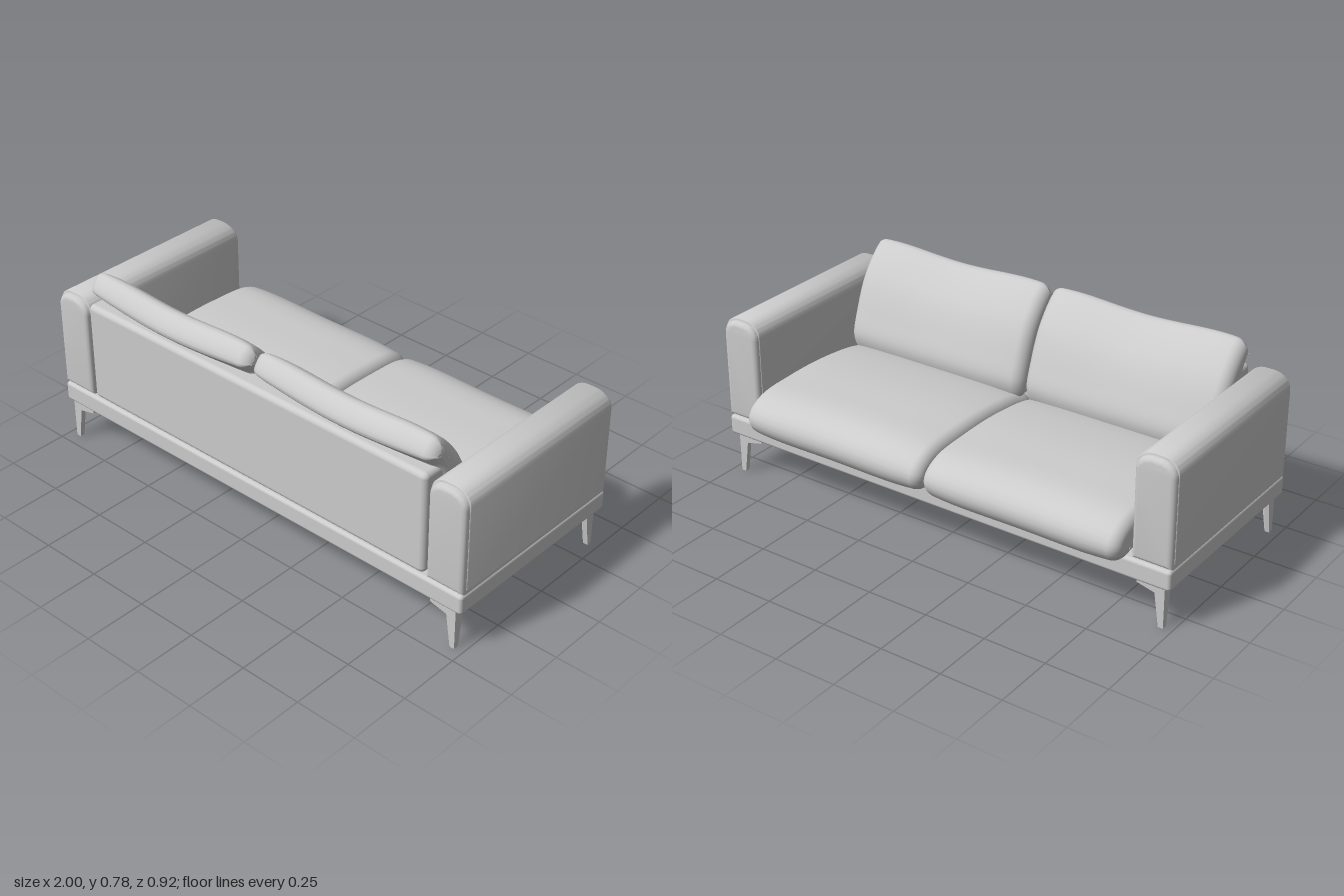
import * as THREE from 'three';
import { RoundedBoxGeometry } from 'three/addons/geometries/RoundedBoxGeometry.js';
import { toCreasedNormals } from 'three/addons/utils/BufferGeometryUtils.js';

const material = new THREE.MeshStandardMaterial({ color: 0xcccccc });

function add(parent, name, geometry, x = 0, y = 0, z = 0) {
  const mesh = new THREE.Mesh(geometry, material);
  mesh.name = name;
  mesh.position.set(x, y, z);
  parent.add(mesh);
  return mesh;
}

// Arm cross-section: flat bottom, rounded shoulders
function armSlab(width, y0, y1, radius, z0, z1, bevel) {
  const w = width / 2;
  const shape = new THREE.Shape();
  shape.moveTo(-w, y0);
  shape.lineTo(w, y0);
  shape.lineTo(w, y1 - radius);
  shape.bezierCurveTo(w, y1 - radius * 0.4, w - radius * 0.5, y1, w - radius * 1.1, y1);
  shape.lineTo(-w + radius * 1.1, y1);
  shape.bezierCurveTo(-w + radius * 0.5, y1, -w, y1 - radius * 0.4, -w, y1 - radius);
  shape.closePath();
  const geometry = new THREE.ExtrudeGeometry(shape, {
    depth: z1 - z0 - 2 * bevel, curveSegments: 12,
    bevelEnabled: true, bevelSize: bevel, bevelThickness: bevel, bevelOffset: -bevel, bevelSegments: 4,
  });
  geometry.translate(0, 0, z0 + bevel);
  return toCreasedNormals(geometry, 0.6);
}

// Soft cushion: a closed (z, y) profile swept along x, inset towards both ends
function cushion(profile, half, radius, wave) {
  const curve = new THREE.CatmullRomCurve3(profile.map(([z, y]) => new THREE.Vector3(z, y, 0)), true, 'centripetal');
  const sides = 72;
  const points = curve.getSpacedPoints(sides).slice(0, sides);
  const centre = points.reduce((sum, p) => sum.add(p), new THREE.Vector3()).divideScalar(sides);

  // Stations along x: rounded end, even middle, rounded end
  const stations = [];
  const endSteps = 8, midSteps = 32, flat = half - radius;
  for (let i = 0; i <= endSteps; i++) {
    const a = (i / endSteps) * Math.PI / 2;
    stations.push([-flat - radius * Math.cos(a), radius * (1 - Math.sin(a))]);
  }
  for (let i = 1; i < midSteps; i++) stations.push([-flat + (2 * flat * i) / midSteps, 0]);
  for (let i = endSteps; i >= 0; i--) stations.push([-stations[i][0], stations[i][1]]);

  const positions = [], index = [];
  stations.forEach(([x, edge], i) => {
    const t = x / half;
    const inset = edge + 0.014 * t ** 4;
    points.forEach((p, j) => {
      const prev = points[(j + sides - 1) % sides], next = points[(j + 1) % sides];
      const dz = next.x - prev.x, dy = next.y - prev.y, len = Math.hypot(dz, dy);
      const [wz, wy] = wave(t, p.x, p.y);
      positions.push(x, p.y - (dz / len) * inset + wy, p.x + (dy / len) * inset + wz);
      if (i < stations.length - 1) {
        const a = i * sides + j, d = i * sides + ((j + 1) % sides);
        index.push(a, d, d + sides, a, d + sides, a + sides);
      }
    });
  });
  // End caps
  const first = positions.length / 3, last = (stations.length - 1) * sides;
  positions.push(-half, centre.y, centre.x, half, centre.y, centre.x);
  for (let j = 0; j < sides; j++) {
    const k = (j + 1) % sides;
    index.push(first, k, j, first + 1, last + j, last + k);
  }
  const geometry = new THREE.BufferGeometry();
  geometry.setAttribute('position', new THREE.Float32BufferAttribute(positions, 3));
  geometry.setIndex(index);
  geometry.computeVertexNormals();
  return geometry;
}

// Corner leg: two tapered bracket plates meeting at a right angle
function cornerLeg() {
  const leg = new THREE.Group();
  const outline = [[0, 0], [0.02, 0], [0.04, 0.133], [0.112, 0.15], [0.112, 0.168], [0, 0.168]];
  const shape = new THREE.Shape(outline.map(([x, y]) => new THREE.Vector2(x, y)));
  const plate = new THREE.ExtrudeGeometry(shape, { depth: 0.02, bevelEnabled: false });
  add(leg, 'legPlateAcross', plate);
  add(leg, 'legPlateAlong', plate, 0.02).rotation.y = -Math.PI / 2;
  return leg;
}

export function createModel() {
  const sofa = new THREE.Group();
  sofa.name = 'sofa';

  // Platform base and rear panel
  add(sofa, 'base', new RoundedBoxGeometry(1.99, 0.081, 0.826, 4, 0.014), 0, 0.2045, 0.047);
  add(sofa, 'backPanel', new RoundedBoxGeometry(1.65, 0.412, 0.11, 5, 0.022), 0, 0.454, 0.403);

  // Arms: padded body with a slightly proud wrap
  const armBody = armSlab(0.16, 0.248, 0.657, 0.06, -0.366, 0.46, 0.02);
  const armWrap = armSlab(0.166, 0.265, 0.667, 0.062, -0.345, 0.438, 0.004);
  for (const [side, s] of [['left', 1], ['right', -1]]) {
    const arm = new THREE.Group();
    arm.name = side + 'Arm';
    arm.position.x = s * 0.916;
    add(arm, 'armBody', armBody);
    add(arm, 'armWrap', armWrap);
    sofa.add(arm);
  }

  // Seat and back cushions
  const hump = (t) => Math.cos(t * Math.PI / 2) ** 2;
  const seat = cushion([
    [-0.466, 0.31], [-0.445, 0.36], [-0.37, 0.404], [-0.2, 0.42], [0, 0.418], [0.2, 0.39], [0.29, 0.35],
    [0.3, 0.29], [0.27, 0.25], [0, 0.246], [-0.3, 0.246], [-0.4, 0.235], [-0.445, 0.258],
  ], 0.416, 0.04, (t, z) => [z < -0.3 ? 0.008 * hump(t) : 0, 0]);
  const back = cushion([
    [0.18, 0.42], [0.208, 0.53], [0.268, 0.665], [0.355, 0.765], [0.395, 0.785], [0.432, 0.757], [0.452, 0.71],
    [0.435, 0.687], [0.408, 0.66], [0.38, 0.58], [0.335, 0.45], [0.28, 0.36], [0.21, 0.35],
  ], 0.418, 0.045, (t, z, y) => [0, -0.022 * hump(t) * THREE.MathUtils.smoothstep(y, 0.42, 0.76)]);
  for (const [side, s] of [['left', 1], ['right', -1]]) {
    add(sofa, side + 'SeatCushion', seat, s * 0.418);
    add(sofa, side + 'BackCushion', back, s * 0.422);
  }

  // Legs, one turned into each corner
  const corners = [
    ['frontRightLeg', -0.966, -0.348, 0], ['rearRightLeg', -0.966, 0.45, 1],
    ['rearLeftLeg', 0.966, 0.45, 2], ['frontLeftLeg', 0.966, -0.348, 3],
  ];
  for (const [name, x, z, turns] of corners) {
    const leg = cornerLeg();
    leg.name = name;
    leg.position.set(x, 0, z);
    leg.rotation.y = turns * Math.PI / 2;
    sofa.add(leg);
  }
  return sofa;
}
